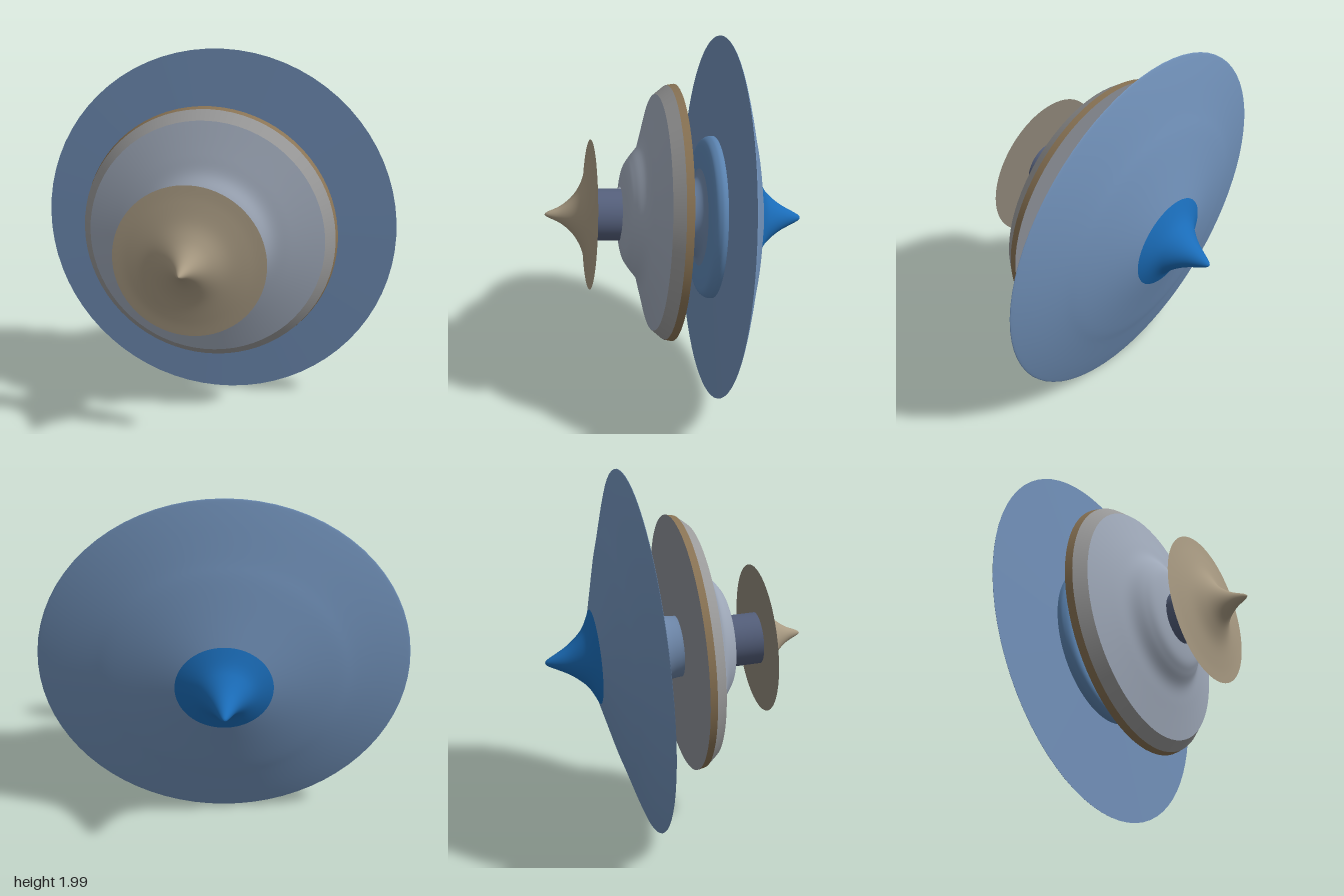
import * as THREE from 'three';

const TILT = 0.075; // the shared axis rises slightly towards the front

// A turned surface from [radius, distance along axis] points, listed back to front
function turned(name, color, points, smooth = true) {
  let pts = points.map(([r, t]) => new THREE.Vector2(r, t));
  if (smooth) pts = new THREE.SplineCurve(pts).getPoints(points.length * 5);
  pts.forEach((p) => { p.x = Math.max(p.x, 0); });
  const mesh = new THREE.Mesh(
    new THREE.LatheGeometry(pts, 72),
    new THREE.MeshStandardMaterial({ color, side: THREE.DoubleSide })
  );
  mesh.name = name;
  return mesh;
}

// One stage of the stack: centred on its rim, with its axis turned to face +z
function stage(name, x, y, z, ...parts) {
  const group = new THREE.Group();
  group.name = name;
  group.position.set(x, y, z);
  group.rotation.x = Math.PI / 2 - TILT;
  group.add(...parts);
  return group;
}

export function createModel() {
  const model = new THREE.Group();
  model.name = 'tieredDiscs';

  // Large rear disc with pointed back, raised hub and flared neck
  model.add(stage('rearStage', 0, 1.0, -0.222,
    turned('rearSpike', 0x1a6cb8, [[0, -0.495], [0.02, -0.478], [0.075, -0.375], [0.13, -0.304], [0.18, -0.262], [0.26, -0.222]]),
    turned('rearDiscBack', 0x7090b8, [[0.26, -0.222], [0.4, -0.184], [0.6, -0.13], [0.71, -0.095], [0.88, -0.043], [0.985, -0.008], [1, 0]]),
    turned('rearDiscFront', 0x6f8db5, [[1, 0], [0.45, 0.015]], false),
    turned('rearHub', 0x5d86b4, [[0.45, 0.015], [0.447, 0.045], [0.42, 0.076], [0.36, 0.084], [0.27, 0.086]]),
    turned('rearNeck', 0x6d86a8, [[0.27, 0.086], [0.225, 0.1], [0.195, 0.135], [0.178, 0.18], [0.17, 0.23], [0.17, 0.265]])
  ));

  // Middle disc: flat back, narrow rim and stepped bowl front
  model.add(stage('middleStage', -0.01, 1.04, 0.021,
    turned('middleBack', 0x8d9098, [[0, 0], [0.708, 0]], false),
    turned('middleRim', 0x8a7455, [[0.708, 0], [0.7, 0.04]], false),
    turned('middleBevel', 0x9a9a9a, [[0.7, 0.04], [0.65, 0.1]], false),
    turned('middleBowl', 0x9ea8b8, [[0.65, 0.1], [0.48, 0.147], [0.38, 0.178], [0.31, 0.23], [0.25, 0.264], [0.14, 0.284]])
  ));

  // Small front disc with its connecting neck and concave point
  model.add(stage('frontStage', -0.03, 1.05, 0.467,
    turned('frontNeck', 0x55607c, [[0.143, -0.19], [0.143, 0]], false),
    turned('frontDiscBack', 0x8f8779, [[0, 0], [0.411, 0]], false),
    turned('frontPoint', 0xa89a82, [[0.411, 0], [0.33, 0.01], [0.22, 0.032], [0.145, 0.065], [0.09, 0.107], [0.045, 0.165], [0.015, 0.23], [0, 0.247]])
  ));

  return model;
}
